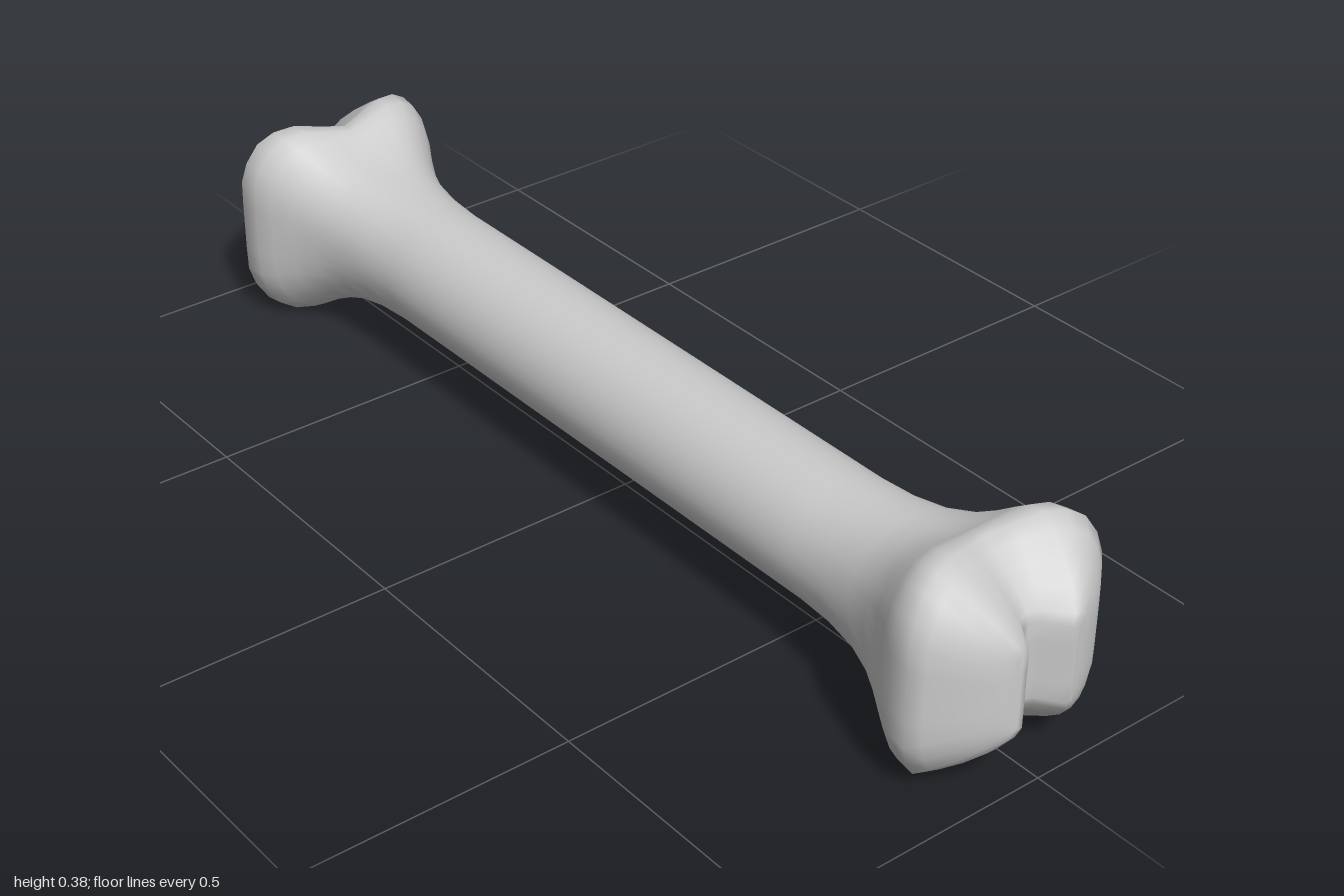
import * as THREE from 'three';
import { mergeVertices } from 'three/addons/utils/BufferGeometryUtils.js';

const STEPS = 8;            // points per quarter of a ring
const SIDES = STEPS * 4;
const CENTER_Y = 0.188;
const SHAFT_R = 0.114;

// Quarter outlines [x, y] from top centre round to the side
const knuckle = [[0, 0.17], [0.045, 0.178], [0.095, 0.188], [0.132, 0.182], [0.163, 0.163],
  [0.185, 0.128], [0.196, 0.092], [0.197, 0.046], [0.197, 0]];
const tip = [[0, 0.07], [0.018, 0.07], [0.046, 0.07], [0.056, 0.068], [0.062, 0.06],
  [0.064, 0.05], [0.065, 0.035], [0.065, 0.018], [0.065, 0]];
const tipZ = [0.952, 0.96, 1, 1, 0.998, 0.997, 0.997, 0.997, 0.997];

const lerp = THREE.MathUtils.lerp;

// Mirror a quarter [x, y, z] into a full clockwise ring
function fullRing(point) {
  const quarter = Array.from({ length: STEPS + 1 }, (_, i) => point(i));
  return Array.from({ length: SIDES }, (_, i) => {
    const q = Math.floor(i / STEPS);
    const k = i % STEPS;
    const [x, y, z] = quarter[q % 2 ? STEPS - k : k];
    return [q < 2 ? x : -x, q === 0 || q === 3 ? y : -y, z];
  });
}

// Blend from round shaft (t = 0) to knuckle (t = 1)
function flareRing(z, t, slope) {
  return fullRing((i) => {
    const a = (i / STEPS) * Math.PI / 2;
    const x = lerp(SHAFT_R * Math.sin(a), knuckle[i][0], t);
    const y = lerp(SHAFT_R * Math.cos(a), knuckle[i][1], t);
    return [x, y, z + slope * x];
  });
}

// Blend from knuckle (u = 0) to the notched tip (u = 1)
function endRing(u) {
  return fullRing((i) => [
    lerp(knuckle[i][0], tip[i][0], u),
    lerp(knuckle[i][1], tip[i][1], u),
    lerp(0.85 + 0.3 * knuckle[i][0], tipZ[i], 1 - (1 - u) ** 1.6),
  ]);
}

// Close the tip by collapsing its height onto the mid line
function capRing(s) {
  return fullRing((i) => [tip[i][0], tip[i][1] * s, tipZ[i]]);
}

export function createModel() {
  const half = [
    flareRing(0.2, 0, 0), flareRing(0.55, 0, 0), flareRing(0.63, 0.04, 0),
    flareRing(0.7, 0.15, 0), flareRing(0.75, 0.32, 0.02), flareRing(0.79, 0.56, 0.05),
    flareRing(0.815, 0.8, 0.12), flareRing(0.83, 0.96, 0.2),
    endRing(0), endRing(0.14), endRing(0.35), endRing(0.6), endRing(0.85), endRing(1),
    capRing(0.5), capRing(0),
  ];
  // Both ends are alike, mirrored along the length
  const back = half.map((ring) => ring.map(([x, y, z]) => [x, y, -z])).reverse();
  const rings = [...back, ...half];

  const positions = rings.flat().flatMap(([x, y, z]) => [x, y + CENTER_Y, z]);
  const indices = [];
  for (let j = 0; j < rings.length - 1; j++) {
    for (let i = 0; i < SIDES; i++) {
      const n = (i + 1) % SIDES;
      const a = j * SIDES + i, b = j * SIDES + n;
      const c = a + SIDES, d = b + SIDES;
      indices.push(a, c, b, b, c, d);
    }
  }
  let geometry = new THREE.BufferGeometry();
  geometry.setAttribute('position', new THREE.Float32BufferAttribute(positions, 3));
  geometry.setIndex(indices);
  geometry = mergeVertices(geometry, 1e-5);
  geometry.computeVertexNormals();

  const bone = new THREE.Mesh(geometry, new THREE.MeshStandardMaterial({ color: 0xcccccc }));
  bone.name = 'bone';
  const group = new THREE.Group();
  group.name = 'boneModel';
  group.add(bone);
  return group;
}
